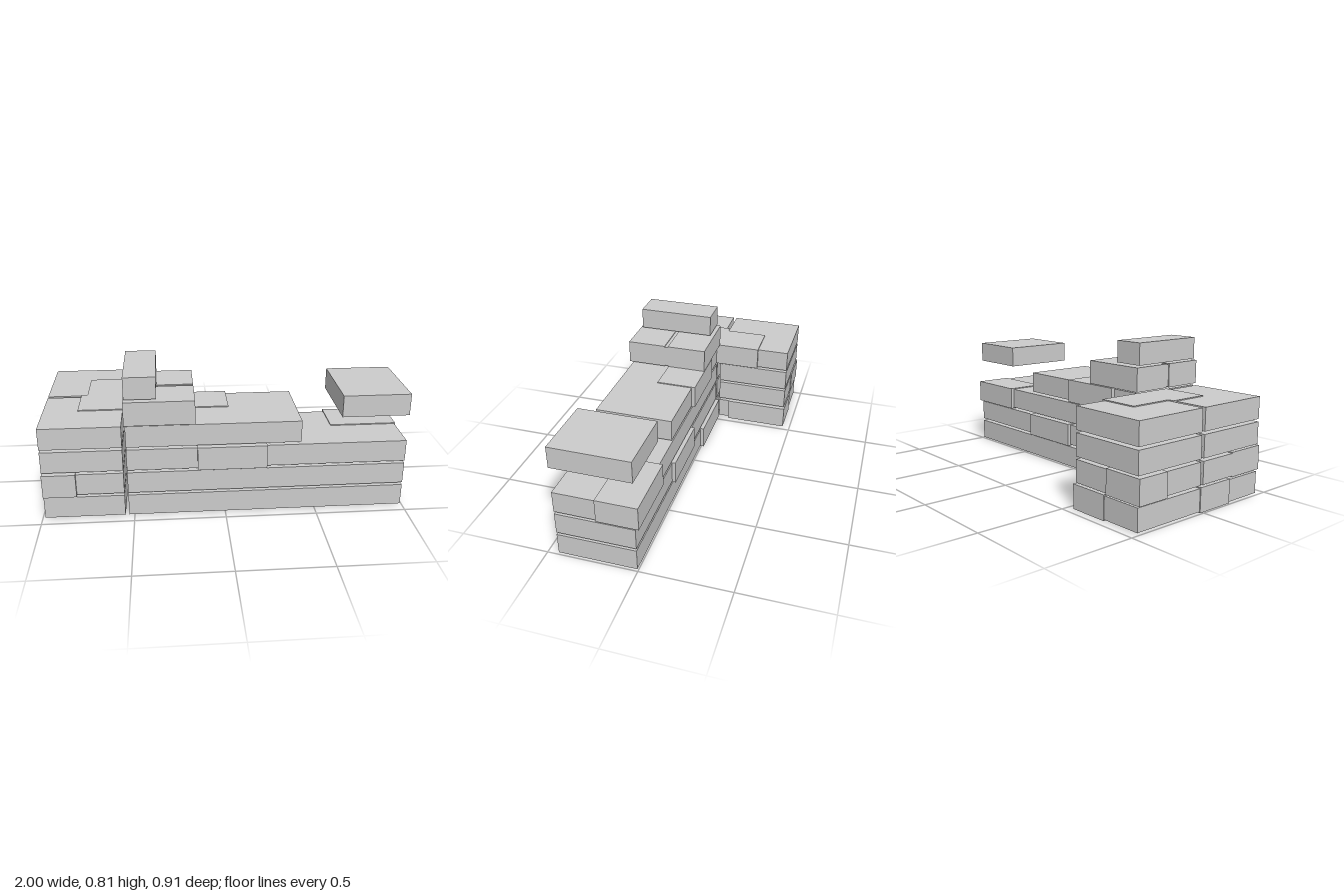
import * as THREE from 'three';

export function createModel() {
  const model = new THREE.Group();
  model.name = 'ruinedWall';
  const stone = new THREE.MeshStandardMaterial({ color: 0xcccccc });
  stone.name = 'pale stone';

  const PITCH = 0.1358; // height of one course
  // block between x0..x1 and z0..z1 in a course; tall ones nearly fill the course
  function block(name, row, x0, x1, z0, z1, height) {
    const mesh = new THREE.Mesh(new THREE.BoxGeometry(x1 - x0, height, z1 - z0), stone);
    mesh.position.set((x0 + x1) / 2, 0.0685 + row * PITCH, (z0 + z1) / 2);
    mesh.name = name;
    model.add(mesh);
  }
  const slab = (name, row, x0, x1, z0 = 0.005, z1 = 0.44) => block(name, row, x0, x1, z0, z1, 0.121);
  const brick = (name, row, x0, x1, z0, z1) => block(name, row, x0, x1, z0, z1, 0.132);

  // long wall, stepping down towards its free end
  [0.99, 0.99, 0.99, 0.41, -0.16, -0.36].forEach((end, row) => slab('longWallCourse', row, -0.53, end));
  slab('looseTopBlock', 4, 0.625, 0.99);

  // corner pillar and return wing behind it
  for (let row = 0; row < 4; row++) {
    slab('cornerBlock', row, -0.985, -0.55);
    slab('wingBlock', row, -0.985, -0.55, -0.45, -0.015);
  }

  // bricks standing proud of the rear of the long wall: course, x start
  for (const [row, x] of [[0, -0.535], [1, 0.04], [2, 0.62], [3, -0.34], [4, -0.535]])
    brick('rearBrick', row, x, x + 0.375, -0.015, 0.212);

  // bricks standing proud of the front
  for (const [row, x, length] of [[1, -0.985, 0.18], [2, -0.15, 0.375], [4, -0.535, 0.375]])
    brick('frontBrick', row, x, x + length, 0.232, 0.457);

  // bricks in the corner and wing
  brick('cornerBrick', 0, -0.99, -0.615, -0.015, 0.212);
  brick('cornerBrick', 3, -0.795, -0.537, -0.015, 0.212);
  brick('wingBrick', 0, -0.76, -0.535, -0.455, -0.08);
  brick('wingBrick', 1, -1, -0.775, -0.455, -0.27);
  brick('wingBrick', 3, -0.76, -0.535, -0.262, 0.113);

  return model;
}
